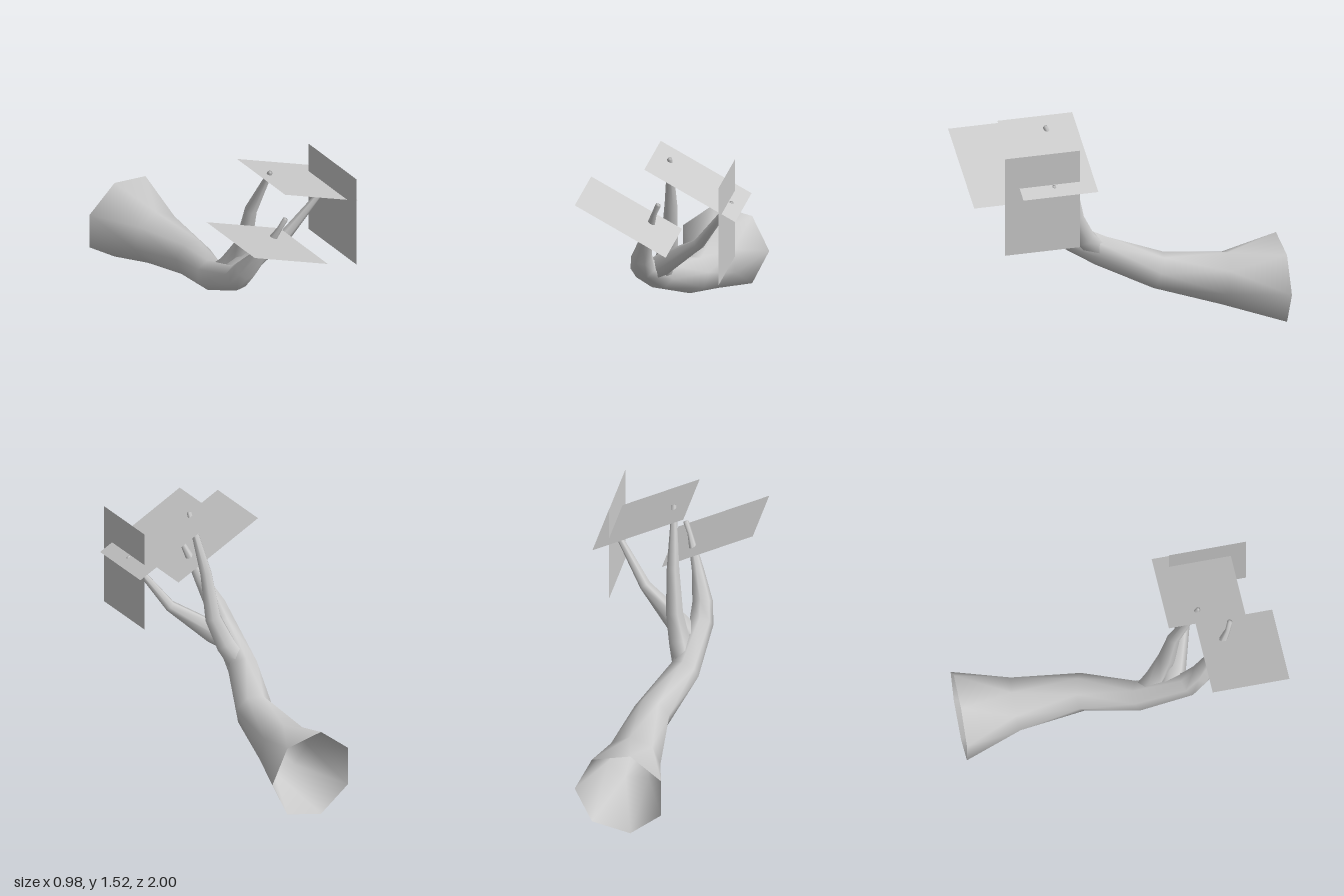
import * as THREE from 'three';

const material = new THREE.MeshStandardMaterial({ color: 0xcccccc, side: THREE.DoubleSide });

// Tapered limb: rings of [x, y, z, radius, twist in degrees] swept along a path
function limb(name, sides, rings, firstDir) {
  const points = rings.map(([x, y, z]) => new THREE.Vector3(x, y, z));
  const dir = (i) => points[i + 1].clone().sub(points[i]).normalize();
  const last = rings.length - 1;
  const positions = [], index = [];
  rings.forEach(([, , , radius, twist = 0], i) => {
    let t;
    if (i === 0) t = firstDir ? firstDir.clone() : dir(0);
    else if (i === last) t = dir(last - 1);
    else t = dir(i - 1).add(dir(i)).normalize();
    const v = t.clone().cross(new THREE.Vector3(1, 0, 0)).normalize();
    const u = v.clone().cross(t);
    for (let j = 0; j < sides; j++) {
      const a = THREE.MathUtils.degToRad(twist) + (j / sides) * Math.PI * 2;
      const p = points[i].clone()
        .addScaledVector(u, radius * Math.cos(a))
        .addScaledVector(v, radius * Math.sin(a));
      positions.push(p.x, p.y, p.z);
      if (i < last) {
        const k = i * sides + j, n = i * sides + ((j + 1) % sides);
        index.push(k, n, k + sides, n, n + sides, k + sides);
      }
    }
  });
  // Pointed cap on the thin end
  const end = points[last].clone().addScaledVector(dir(last - 1), 0.004);
  positions.push(end.x, end.y, end.z);
  for (let j = 0; j < sides; j++) {
    index.push(last * sides + j, last * sides + ((j + 1) % sides), rings.length * sides);
  }
  const geometry = new THREE.BufferGeometry();
  geometry.setAttribute('position', new THREE.Float32BufferAttribute(positions, 3));
  geometry.setIndex(index);
  geometry.computeVertexNormals();
  const mesh = new THREE.Mesh(geometry, material);
  mesh.name = name;
  return mesh;
}

// Flat rectangular leaf card, tilted about the z axis
function leafCard(name, x, y, z, tilt) {
  const geometry = new THREE.PlaneGeometry(0.655, 0.487).rotateX(-Math.PI / 2);
  const mesh = new THREE.Mesh(geometry, material);
  mesh.name = name;
  mesh.position.set(x, y, z);
  mesh.rotation.z = tilt;
  return mesh;
}

export function createModel() {
  const group = new THREE.Group();
  group.name = 'branch';

  // Main bough: open seven-sided butt at the back, bending up into the right twig
  group.add(limb('mainBough', 7, [
    [0.03, 0.295, -1, 0.29, 0],
    [0.02, 0.34, -0.64, 0.172, 33],
    [-0.01, 0.42, -0.23, 0.122, 62],
    [-0.14, 0.545, 0.11, 0.097, 88],
    [-0.18, 0.715, 0.42, 0.079, 90],
    [-0.17, 0.82, 0.5, 0.067, 90],
    [-0.12, 0.98, 0.6, 0.04, 90],
    [-0.05, 1.19, 0.69, 0.017, 90],
    [-0.02, 1.26, 0.71, 0.018, 90],
  ], new THREE.Vector3(0, 0, 1)));

  // Left twig, growing sideways out of the fork
  group.add(limb('leftTwig', 6, [
    [-0.17, 0.63, 0.27, 0.06],
    [-0.06, 0.72, 0.35, 0.075],
    [0.185, 0.915, 0.46, 0.037],
    [0.42, 1.262, 0.578, 0.015],
  ]));

  // Rear twig, growing straight up
  group.add(limb('rearTwig', 6, [
    [-0.13, 0.56, 0.14, 0.07],
    [-0.085, 0.67, 0.23, 0.068],
    [-0.035, 0.84, 0.305, 0.055],
    [-0.015, 1.13, 0.355, 0.04],
    [0.012, 1.495, 0.515, 0.016],
  ]));

  // Leaf cards at the twig tips
  const slope = Math.atan2(-0.303, 0.58);
  group.add(
    leafCard('upperLeaf', 0.2, 1.376, 0.553, slope),
    leafCard('rightLeaf', -0.2, 1.182, 0.756, slope),
    leafCard('leftLeaf', 0.403, 1.153, 0.648, -Math.PI / 2),
  );
  return group;
}
